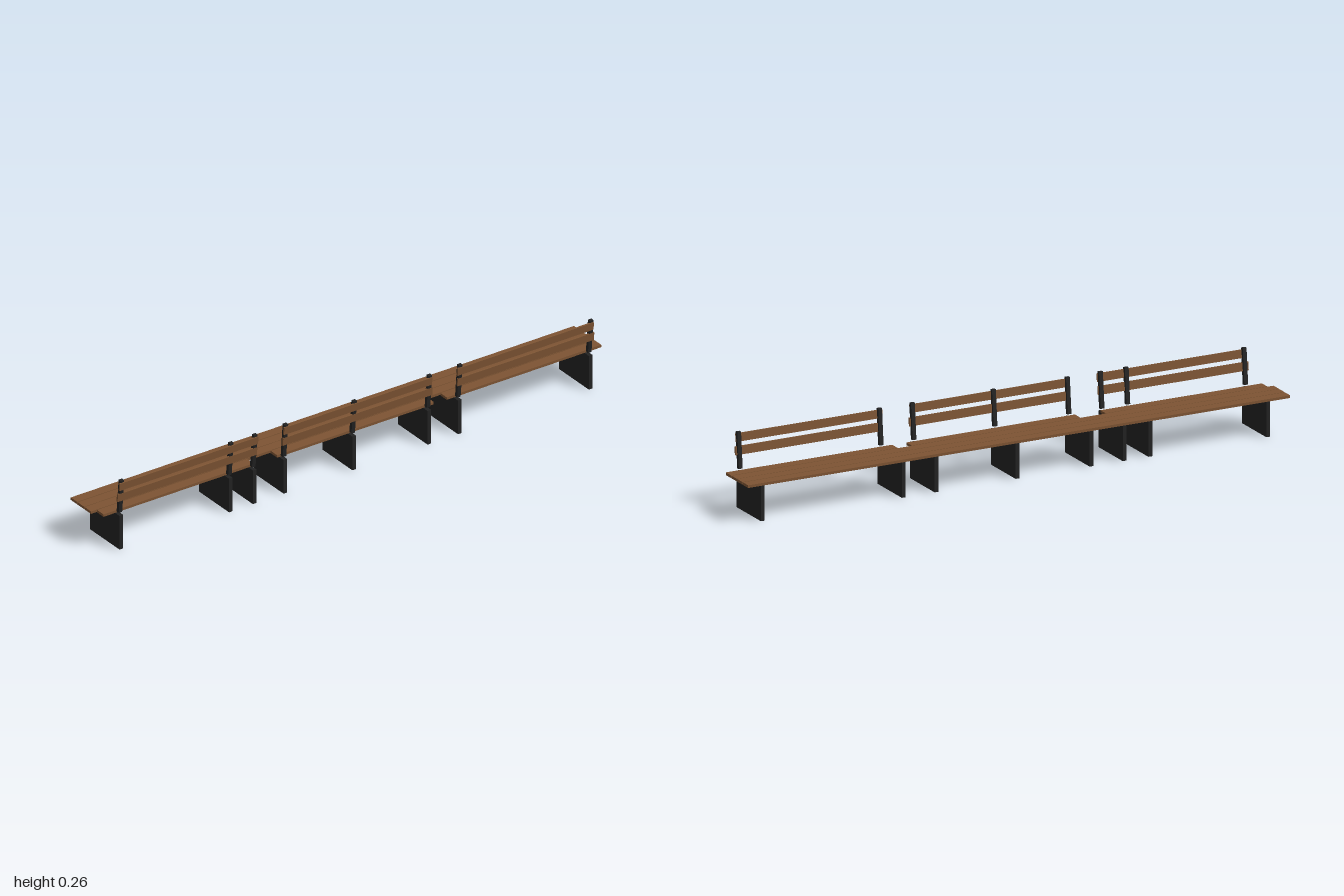
import * as THREE from 'three';

export function createModel() {
  const group = new THREE.Group();
  const wood = new THREE.MeshStandardMaterial({ color: 0x7d5433 });
  wood.name = 'brown wood';
  const metal = new THREE.MeshStandardMaterial({ color: 0x222222 });
  metal.name = 'dark metal';

  // Box given by its minimum and maximum on each axis
  function addBox(name, material, [x0, x1], [y0, y1], [z0, z1], tilt = 0) {
    const mesh = new THREE.Mesh(new THREE.BoxGeometry(x1 - x0, y1 - y0, z1 - z0), material);
    mesh.position.set((x0 + x1) / 2, (y0 + y1) / 2, (z0 + z1) / 2);
    mesh.rotation.x = tilt;
    mesh.name = name;
    group.add(mesh);
  }

  const seatY = [0.125, 0.134];
  const lean = 0.092;

  // Three long seat slats
  for (const z of [-0.093, -0.0535, -0.0145]) {
    addBox('seatSlat', wood, [-1, 1], seatY, [z, z + 0.0365]);
  }

  // Each section: its short seat slat, its two back slats and its supports
  const sections = [
    { seat: [-0.978, -0.382], upper: [-0.936, -0.386], lower: [-0.94, -0.386], supports: [-0.925, -0.49, -0.395] },
    { seat: [-0.288, 0.334], upper: [-0.283, 0.305], lower: [-0.283, 0.311], supports: [-0.273, 0, 0.299] },
    { seat: [0.386, 1], upper: [0.407, 0.947], lower: [0.411, 0.953], supports: [0.42, 0.94] },
  ];
  for (const { seat, upper, lower, supports } of sections) {
    addBox('shortSeatSlat', wood, seat, seatY, [0.025, 0.0615]);
    addBox('upperBackSlat', wood, upper, [0.222, 0.25], [0.0885, 0.0945], lean);
    addBox('lowerBackSlat', wood, lower, [0.179, 0.208], [0.082, 0.088], lean);
    for (const x of supports) {
      const width = [x - 0.007, x + 0.007];
      addBox('legPanel', metal, width, [0, 0.125], [-0.082, 0.087]);
      addBox('backPost', metal, width, [0.134, 0.258], [0.0755, 0.0875], lean);
    }
  }
  return group;
}
